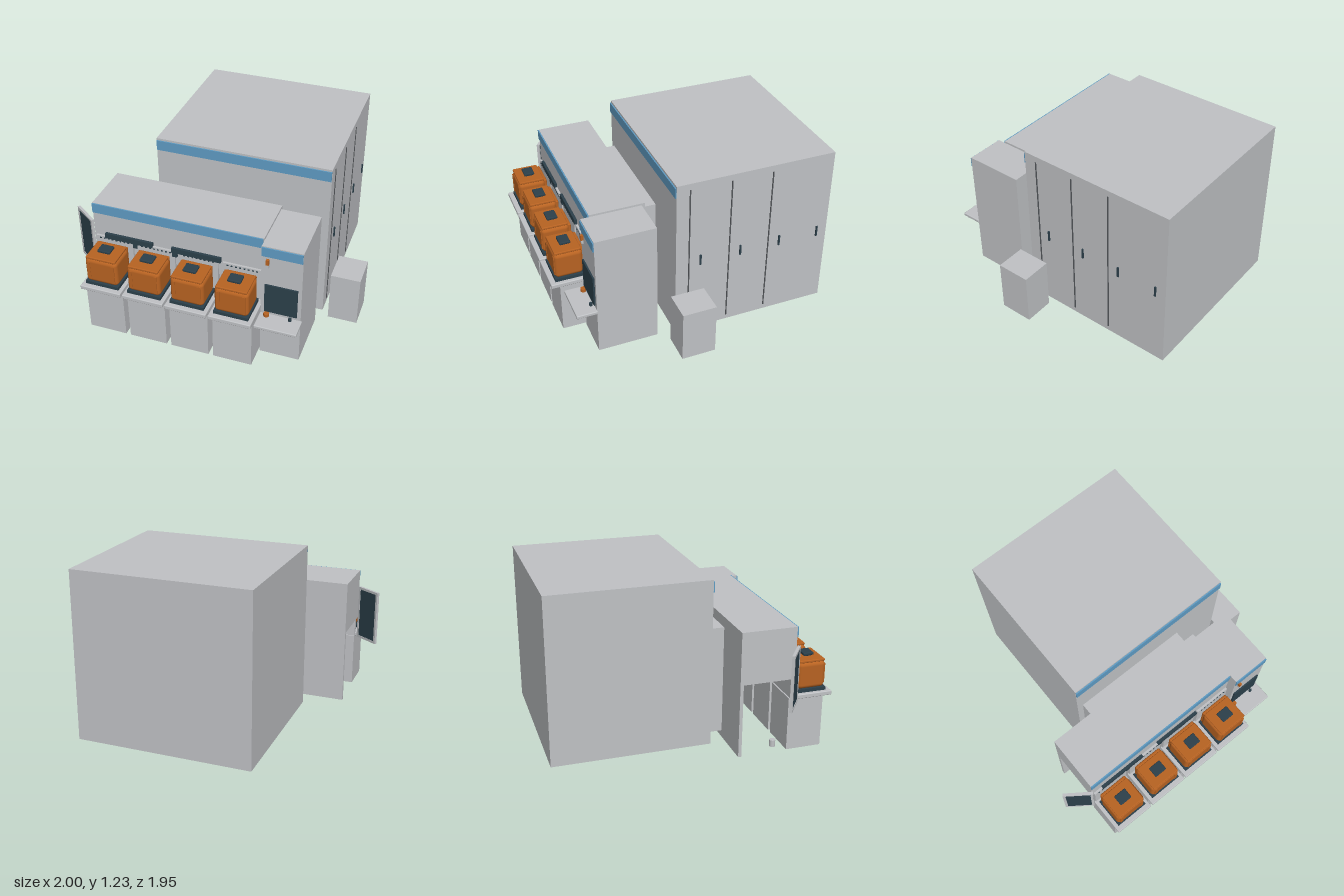
import * as THREE from 'three';
import { RoundedBoxGeometry } from 'three/addons/geometries/RoundedBoxGeometry.js';

const paint = (name, color) => {
  const m = new THREE.MeshStandardMaterial({ color });
  m.name = name;
  return m;
};

export function createModel() {
  const grey = paint('panel grey', 0xc0c2c5);
  const blue = paint('trim blue', 0x5f9cc4);
  const orange = paint('carrier orange', 0xb86322);
  const dark = paint('dark slate', 0x2c404b);
  const seamGrey = paint('seam grey', 0x55585c);

  const model = new THREE.Group();
  model.name = 'processingMachine';

  const add = (parent, name, geometry, material) => {
    const mesh = new THREE.Mesh(geometry, material);
    mesh.name = name;
    parent.add(mesh);
    return mesh;
  };
  // Box given by its limits on each axis
  const box = (parent, name, mat, x0, x1, y0, y1, z0, z1, radius = 0) => {
    const size = [x1 - x0, y1 - y0, z1 - z0];
    const geo = radius ? new RoundedBoxGeometry(...size, 3, radius) : new THREE.BoxGeometry(...size);
    const mesh = add(parent, name, geo, mat);
    mesh.position.set((x0 + x1) / 2, (y0 + y1) / 2, (z0 + z1) / 2);
    return mesh;
  };
  const group = (name, x = 0, y = 0, z = 0) => {
    const g = new THREE.Group();
    g.name = name;
    g.position.set(x, y, z);
    model.add(g);
    return g;
  };

  // Large rear cabinet with door seams and handles on its side
  const cabinet = group('rearCabinet');
  box(cabinet, 'cabinetBody', grey, -0.545, 0.73, 0, 1.23, -0.98, 0.18);
  box(cabinet, 'cabinetTrim', blue, -0.543, 0.728, 1.14, 1.215, 0.18, 0.189);
  for (let i = 0; i < 4; i++) {
    const z = -0.3 * i;
    if (i < 3) box(cabinet, 'doorSeam', seamGrey, 0.729, 0.735, 0.04, 1.185, z + 0.081, z + 0.089);
    box(cabinet, 'doorHandle', dark, 0.729, 0.74, 0.56, 0.64, z - 0.006, z + 0.006);
  }

  // Link between cabinet and loading unit
  box(model, 'connector', grey, -0.5, 0.36, 0.07, 0.865, 0.175, 0.307);

  // Loading unit: raised housing on a thin back wall, open below
  const loader = group('loadingUnit');
  box(loader, 'housing', grey, -0.825, 0.42, 0.56, 0.94, 0.281, 0.68);
  box(loader, 'backWall', grey, -0.825, 0.42, 0.02, 0.57, 0.281, 0.305);
  box(loader, 'housingTrim', blue, -0.825, 0.415, 0.865, 0.938, 0.68, 0.689);
  for (const x of [-0.74, -0.24]) {
    box(loader, 'darkBar', dark, x, x + 0.36, 0.67, 0.71, 0.679, 0.7);
  }
  box(loader, 'barLeg', dark, -0.53, -0.495, 0.635, 0.675, 0.679, 0.698);
  box(loader, 'barLeg', dark, -0.235, -0.2, 0.635, 0.675, 0.679, 0.698);
  box(loader, 'innerArm', dark, -0.22, -0.18, 0.53, 0.56, 0.57, 0.62);
  const foot = add(loader, 'foot', new THREE.CylinderGeometry(0.022, 0.022, 0.05, 20), grey);
  foot.position.set(-0.705, 0.025, 0.59);

  // Four load ports, each holding a carrier
  for (let i = 0; i < 4; i++) {
    const port = group('loadPort', -0.67 + 0.315 * i);
    box(port, 'portBase', grey, -0.14, 0.14, 0.015, 0.41, 0.65, 0.91);
    box(port, 'portShelf', grey, -0.151, 0.151, 0.4, 0.432, 0.68, 0.972, 0.006);
    box(port, 'portPlate', grey, -0.14, 0.14, 0.41, 0.68, 0.66, 0.696);
    for (let k = 0; k < 8; k++) {
      const x = -0.105 + 0.03 * k;
      box(port, 'indicator', dark, x - 0.006, x + 0.006, 0.662, 0.67, 0.695, 0.7);
    }
    box(port, 'carrierBase', dark, -0.124, 0.124, 0.43, 0.456, 0.715, 0.935);
    box(port, 'carrierBody', orange, -0.12, 0.12, 0.453, 0.65, 0.725, 0.93, 0.03);
    box(port, 'carrierBackFlange', orange, -0.11, 0.11, 0.46, 0.648, 0.712, 0.735, 0.008);
    for (const x of [-0.09, 0.09]) {
      box(port, 'carrierRib', orange, x - 0.012, x + 0.012, 0.48, 0.625, 0.92, 0.933);
    }
    box(port, 'carrierLid', orange, -0.11, 0.11, 0.645, 0.664, 0.735, 0.925, 0.006);
    box(port, 'carrierGrip', dark, -0.032, 0.032, 0.66, 0.68, 0.805, 0.855);
    box(port, 'carrierGripCap', dark, -0.047, 0.047, 0.673, 0.693, 0.79, 0.868, 0.006);
  }

  // Operator station
  const station = group('operatorStation');
  box(station, 'stationBody', grey, 0.422, 0.706, 0, 0.927, 0.305, 0.74);
  box(station, 'stationTrim', blue, 0.425, 0.704, 0.85, 0.92, 0.74, 0.748);
  box(station, 'screen', dark, 0.45, 0.68, 0.387, 0.617, 0.739, 0.752);
  box(station, 'stationShelf', grey, 0.418, 0.716, 0.335, 0.36, 0.735, 0.885, 0.006);
  box(station, 'lamp', orange, 0.457, 0.477, 0.79, 0.83, 0.739, 0.76);
  box(station, 'lampBase', grey, 0.457, 0.477, 0.765, 0.79, 0.739, 0.757);
  const knob = (mat, x, r) => {
    const k = add(station, 'knob', new THREE.CylinderGeometry(r, r, 0.025, 20), mat);
    k.position.set(x, 0.37, 0.762);
  };
  knob(orange, 0.47, 0.02);
  knob(dark, 0.637, 0.011);

  // Angled side panel: a frame around a dark pane
  const panel = group('sidePanel', -0.911, 0.6, 0.638);
  panel.rotation.y = -Math.atan2(0.125, 0.175);
  const w = 0.104, h = 0.205;
  const frame = new THREE.Shape([[-w, -h], [w, -h], [w, h], [-w, h]].map(p => new THREE.Vector2(...p)));
  const a = w - 0.018, b = h - 0.018;
  frame.holes.push(new THREE.Path([[-a, -b], [-a, b], [a, b], [a, -b]].map(p => new THREE.Vector2(...p))));
  const frameGeo = new THREE.ExtrudeGeometry(frame, { depth: 0.02, bevelEnabled: false });
  add(panel, 'panelFrame', frameGeo.translate(0, 0, -0.01), grey);
  box(panel, 'panelPane', dark, -a, a, -b, b, -0.007, 0.007);

  // Free-standing side unit
  box(model, 'sideUnit', grey, 0.785, 1, 0, 0.387, -0.008, 0.237);

  return model;
}
